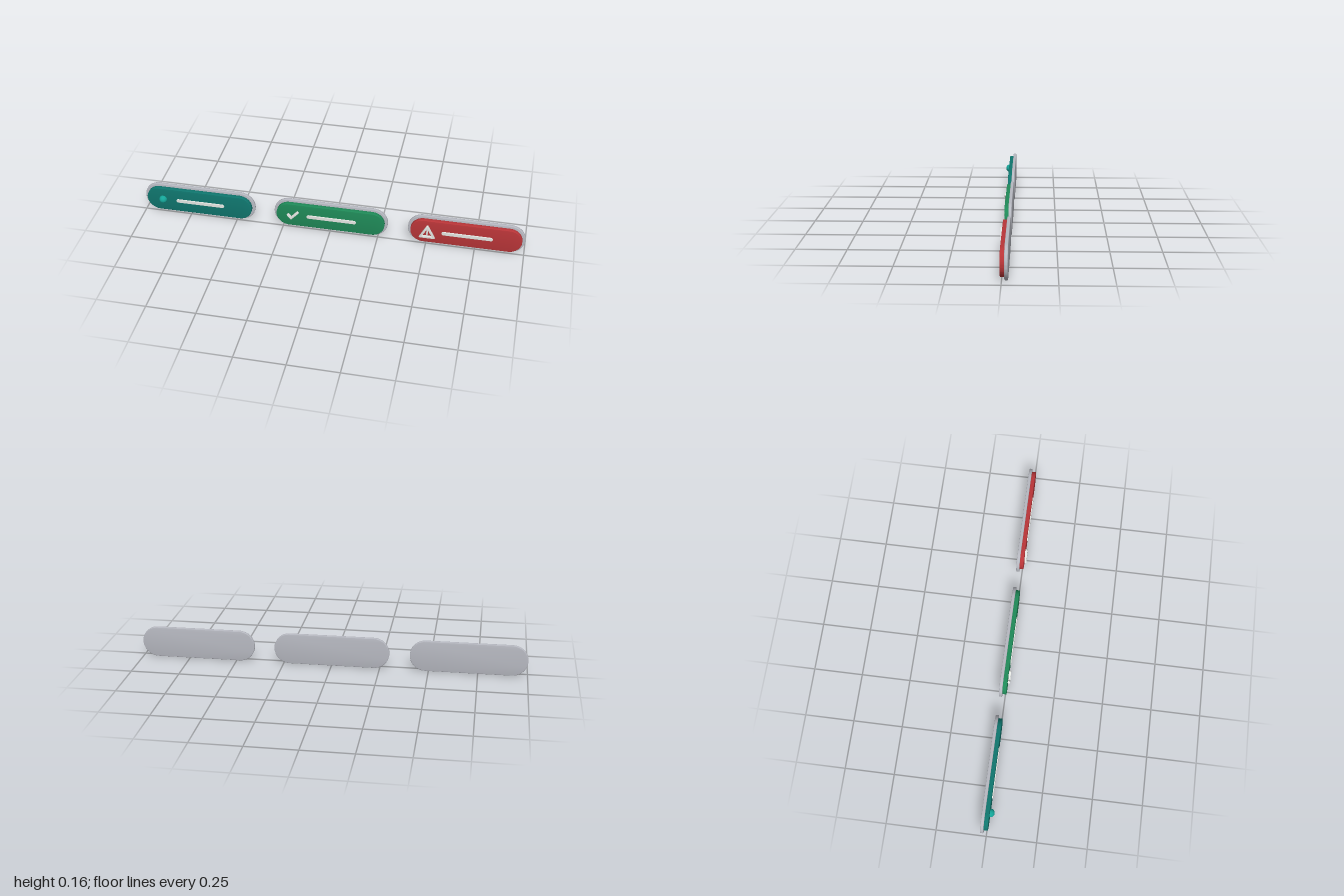
import * as THREE from 'three';
import { toCreasedNormals } from 'three/addons/utils/BufferGeometryUtils.js';

const MID_Y = 0.081;
const paint = (color) => new THREE.MeshStandardMaterial({ color });
const plateMat = paint(0xb6b8c0);
const lightMat = paint(0xe4e6e2);

// Extrudes a shape from z0 to z1 with a small bevel that stays inside the outline
function slab(name, shape, z0, z1, bevel, material) {
  const raw = new THREE.ExtrudeGeometry(shape, {
    depth: z1 - z0 - 2 * bevel, curveSegments: 20, bevelEnabled: true,
    bevelThickness: bevel, bevelSize: bevel, bevelOffset: -bevel, bevelSegments: 3,
  });
  raw.translate(0, 0, z0 + bevel);
  const mesh = new THREE.Mesh(toCreasedNormals(raw, 0.6), material);
  mesh.name = name;
  return mesh;
}

// Stadium outline centred on the origin
function pill(w, h) {
  const r = h / 2, s = w / 2 - r;
  const shape = new THREE.Shape();
  shape.absarc(s, 0, r, -Math.PI / 2, Math.PI / 2, false);
  shape.absarc(-s, 0, r, Math.PI / 2, Math.PI * 1.5, false);
  shape.closePath();
  return shape;
}

const polygon = (points) => new THREE.Shape(points.map(([x, y]) => new THREE.Vector2(x, y)));

// Small round status light
function statusDot() {
  const dot = new THREE.Mesh(new THREE.SphereGeometry(0.021, 28, 18), paint(0x14a598));
  dot.name = 'statusDot';
  dot.position.z = 0.009;
  return dot;
}

// Tick made from a constant-width bent stroke
function checkMark() {
  const outline = [[-0.031, 0.002], [-0.009, -0.026], [0.033, 0.02], [0.024, 0.028], [-0.008, -0.008], [-0.022, 0.009]];
  return slab('checkMark', polygon(outline), 0.006, 0.018, 0.001, lightMat);
}

// Triangular frame with a stroke and a point inside
function warningSign() {
  const sign = new THREE.Group();
  sign.name = 'warningSign';
  const frame = polygon([[-0.041, -0.033], [-0.036, -0.036], [0.036, -0.036], [0.041, -0.033],
    [0.004, 0.038], [-0.004, 0.038]]);
  frame.holes.push(new THREE.Path([[-0.025, -0.025], [0, 0.022], [0.025, -0.025]]
    .map(([x, y]) => new THREE.Vector2(x, y))));
  const stroke = slab('warningStroke', pill(0.026, 0.008), 0.006, 0.018, 0.001, lightMat);
  stroke.rotation.z = Math.PI / 2;
  stroke.position.y = -0.001;
  const point = slab('warningPoint', pill(0.0082, 0.008), 0.006, 0.018, 0.001, lightMat);
  point.position.y = -0.02;
  sign.add(slab('warningFrame', frame, 0.006, 0.018, 0.001, lightMat), stroke, point);
  return sign;
}

// One badge: back plate, coloured face, label bar and icon
function badge(name, x, color, icon) {
  const group = new THREE.Group();
  group.name = name;
  group.position.set(x, MID_Y, 0);
  const bar = slab('labelBar', pill(0.26, 0.02), 0.005, 0.012, 0.002, lightMat);
  bar.position.x = 0.007;
  icon.position.x = -0.196;
  group.add(
    slab('backPlate', pill(0.597, 0.162), -0.029, -0.013, 0.003, plateMat),
    slab('colorFace', pill(0.567, 0.134), -0.014, 0.007, 0.002, paint(color)),
    bar, icon,
  );
  return group;
}

export function createModel() {
  const model = new THREE.Group();
  model.name = 'statusBadges';
  model.add(
    badge('activeBadge', -0.7015, 0x0f766e, statusDot()),
    badge('successBadge', 0, 0x1f8a58, checkMark()),
    badge('warningBadge', 0.7015, 0xb93538, warningSign()),
  );
  return model;
}
